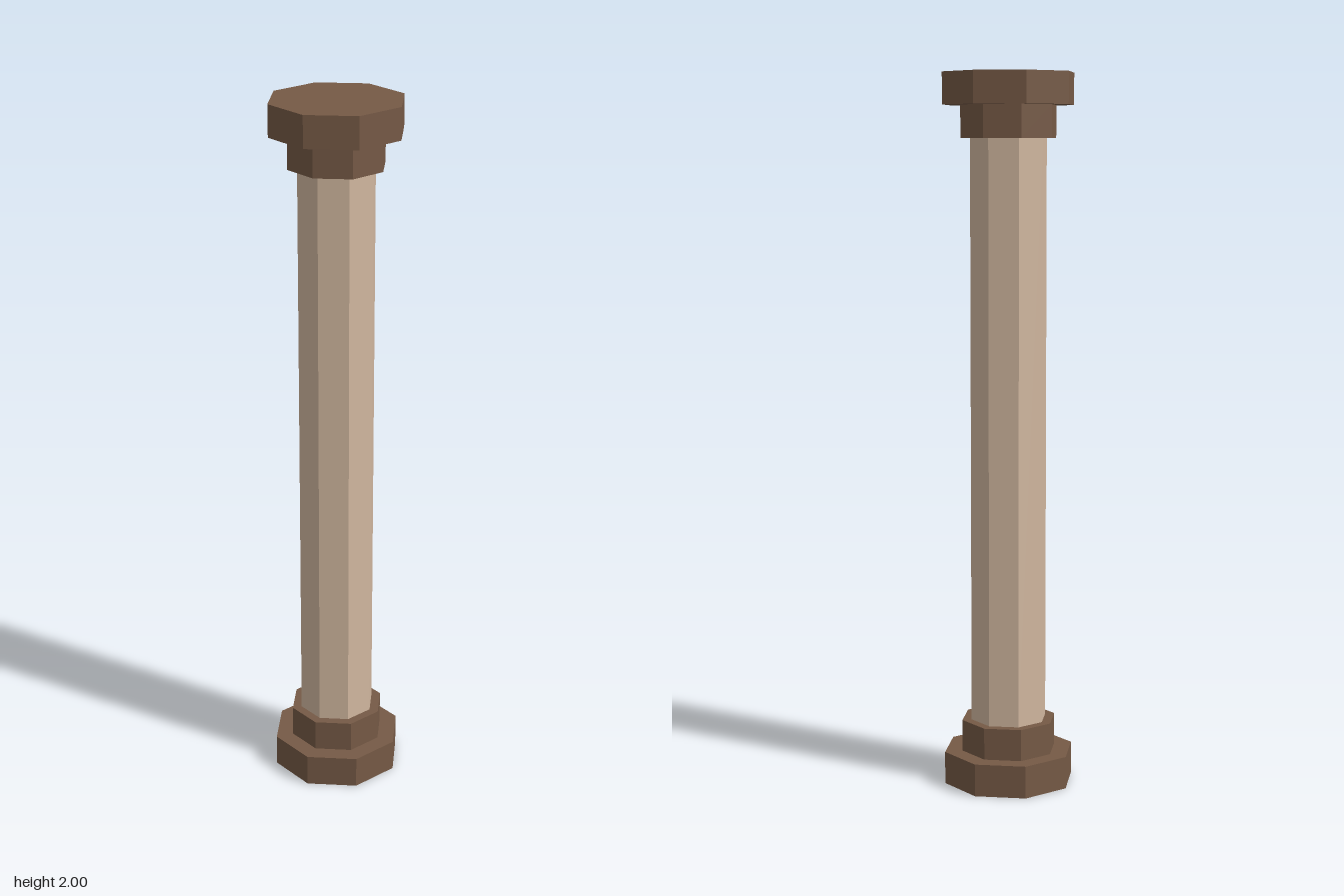
import * as THREE from 'three';

const SIDES = 8;

export function createModel() {
  const group = new THREE.Group();
  group.name = 'column';
  const trim = new THREE.MeshStandardMaterial({ color: 0x765a46, flatShading: true });
  const stone = new THREE.MeshStandardMaterial({ color: 0xd2b8a0, flatShading: true });

  // Octagonal drum between two heights, corners on the x and z axes
  const drum = (name, radius, y0, y1, material) => {
    const mesh = new THREE.Mesh(new THREE.CylinderGeometry(radius, radius, y1 - y0, SIDES), material);
    mesh.name = name;
    mesh.position.y = (y0 + y1) / 2;
    group.add(mesh);
  };

  // Stepped base
  drum('basePlinth', 0.187, 0, 0.092, trim);
  drum('baseCollar', 0.136, 0.092, 0.182, trim);

  // Plain shaft
  drum('shaft', 0.109, 0.182, 1.822, stone);

  // Stepped capital
  drum('capitalCollar', 0.136, 1.822, 1.912, trim);
  drum('capitalSlab', 0.187, 1.912, 2, trim);

  return group;
}
